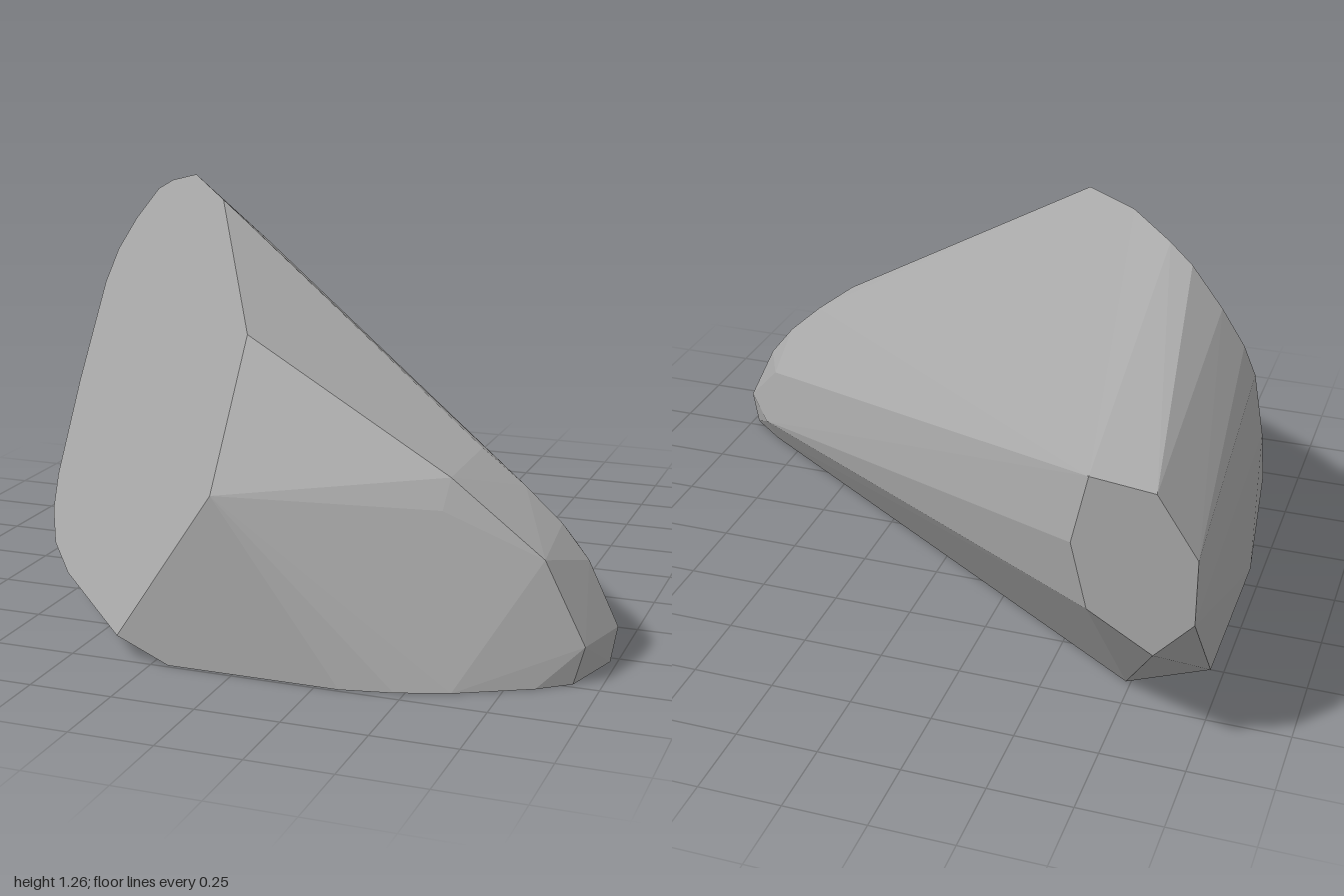
import * as THREE from 'three';
import { ConvexGeometry } from 'three/addons/geometries/ConvexGeometry.js';

export function createModel() {
  const group = new THREE.Group();
  group.name = 'rock';
  const stone = new THREE.MeshStandardMaterial({ color: 0xa8a8a8 });
  stone.name = 'grey stone';

  // Slanted cut face: outline in x, y; depth follows from its plane
  const cut = [
    [-0.56, 1.26], [-0.36, 1.22], [-0.06, 0.92], [-0.06, 0.52], [-0.36, 0.07],
    [-0.73, 0.085], [-0.86, 0.12], [-0.93, 0.19], [-0.96, 0.28], [-0.98, 0.55],
    [-0.98, 0.85], [-0.95, 0.96], [-0.88, 1.07], [-0.78, 1.18], [-0.7, 1.22],
  ].map(([x, y]) => [x, y, (2.026 + 1.5 * x - y) / 1.43]);

  // Small flat facet at the back
  const back = [
    [-0.695, 0.88], [-0.88, 0.86], [-1, 0.68], [-1, 0.48],
    [-0.89, 0.36], [-0.7, 0.47], [-0.65, 0.67],
  ].map(([x, y]) => [x, y, -1]);

  // Base outline in x, z, resting on the ground
  const base = [
    [-0.735, -0.64], [-0.96, -0.5], [-0.96, 0.1], [-0.2, 0.99], [0.32, 0.99],
    [0.47, 0.96], [0.62, 0.91], [0.83, 0.8], [0.92, 0.73], [0.98, 0.53], [0.86, 0.43],
  ].map(([x, z]) => [x, 0, z]);

  // Blunt nose on the left end
  const nose = [
    [1, 0.11, 0.53], [0.95, 0.11, 0.72], [0.86, 0.11, 0.345], [0.91, 0.3, 0.53],
    [0.83, 0.4, 0.53], [0.83, 0.3, 0.37], [0.83, 0.35, 0.72], [0.72, 0.5, 0.53],
    [0.59, 0.6, 0.53], [0.56, 0.565, 0.735], [0.55, 0.48, 0.78],
  ];

  const points = [...cut, ...back, ...base, ...nose].map((p) => new THREE.Vector3(...p));
  const rock = new THREE.Mesh(new ConvexGeometry(points), stone);
  rock.name = 'boulder';
  group.add(rock);
  return group;
}
